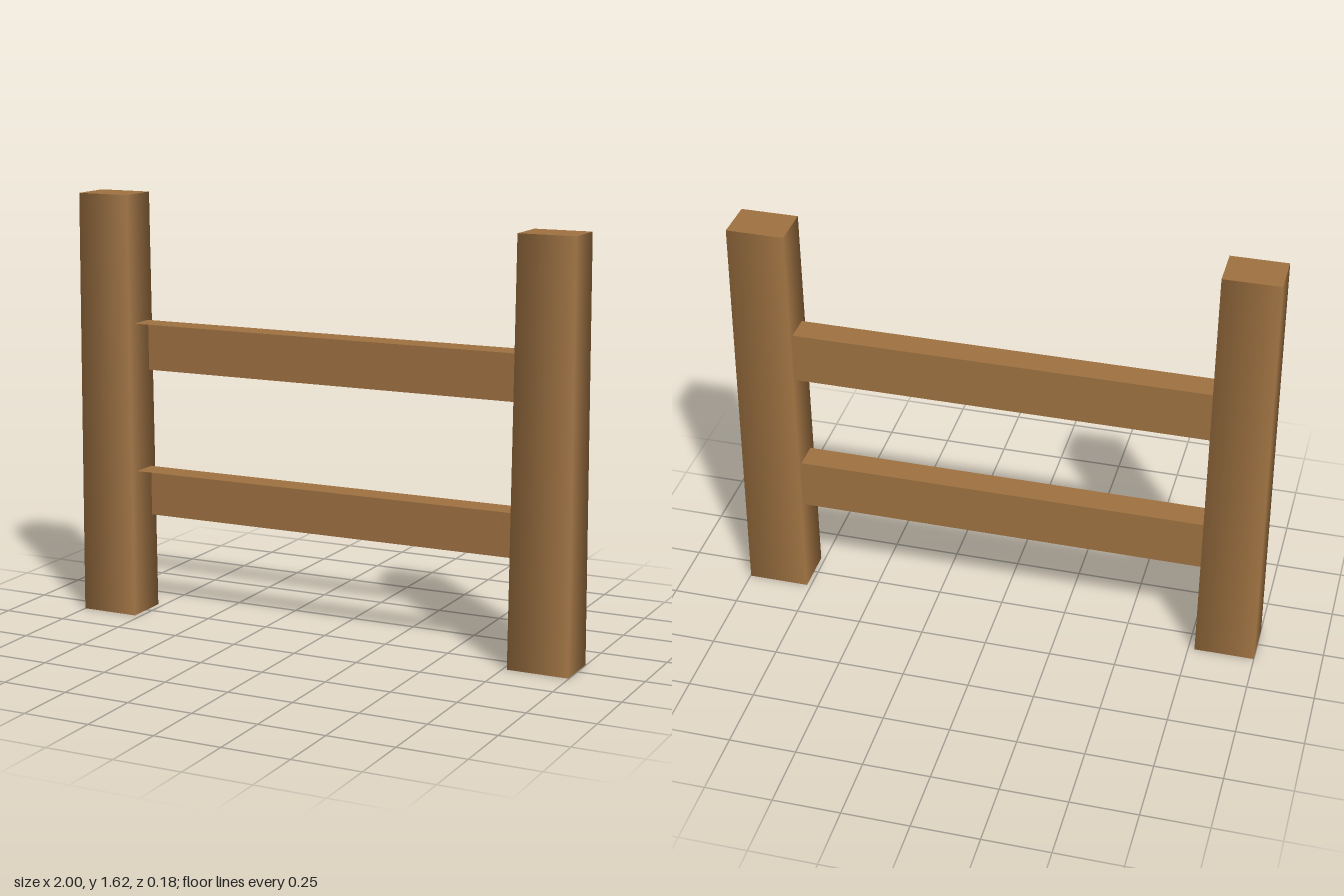
import * as THREE from 'three';

const wood = new THREE.MeshStandardMaterial({ color: 0xa07342, side: THREE.DoubleSide });
wood.name = 'wood';

const TAPER = 0.92;

// Tapered square post: four softly shaded sides, flat top, open bottom
function makePost(name, x, halfWidth, halfDepth, height) {
  const post = new THREE.Group();
  post.name = name;

  const r = Math.SQRT2;
  const sides = new THREE.CylinderGeometry(r * TAPER, r, height, 4, 1, true);
  sides.rotateY(Math.PI / 4);
  sides.scale(halfWidth, 1, halfDepth);
  sides.translate(0, height / 2, 0);
  const sideMesh = new THREE.Mesh(sides, wood);
  sideMesh.name = 'postSides';

  const top = new THREE.PlaneGeometry(2 * halfWidth * TAPER, 2 * halfDepth * TAPER);
  top.rotateX(-Math.PI / 2);
  top.translate(0, height, 0);
  const topMesh = new THREE.Mesh(top, wood);
  topMesh.name = 'postTop';

  post.add(sideMesh, topMesh);
  post.position.x = x;
  return post;
}

// Rail made of a top board face and a back board face
function makeRail(name, bottom, top) {
  const rail = new THREE.Group();
  rail.name = name;
  const length = 1.556, back = -0.055, front = 0.05;

  const topFace = new THREE.PlaneGeometry(length, front - back);
  topFace.rotateX(-Math.PI / 2);
  topFace.translate(0, top, (front + back) / 2);
  const topMesh = new THREE.Mesh(topFace, wood);
  topMesh.name = 'railTop';

  const backFace = new THREE.PlaneGeometry(length, top - bottom);
  backFace.rotateY(Math.PI);
  backFace.translate(0, (top + bottom) / 2, back);
  const backMesh = new THREE.Mesh(backFace, wood);
  backMesh.name = 'railBack';

  rail.add(topMesh, backMesh);
  rail.position.x = -0.003;
  return rail;
}

export function createModel() {
  const fence = new THREE.Group();
  fence.name = 'fence';
  fence.add(
    makePost('rightPost', -0.887, 0.113, 0.088, 1.62),
    makePost('leftPost', 0.882, 0.116, 0.088, 1.555),
    makeRail('upperRail', 0.94, 1.133),
    makeRail('lowerRail', 0.37, 0.563),
  );
  return fence;
}
